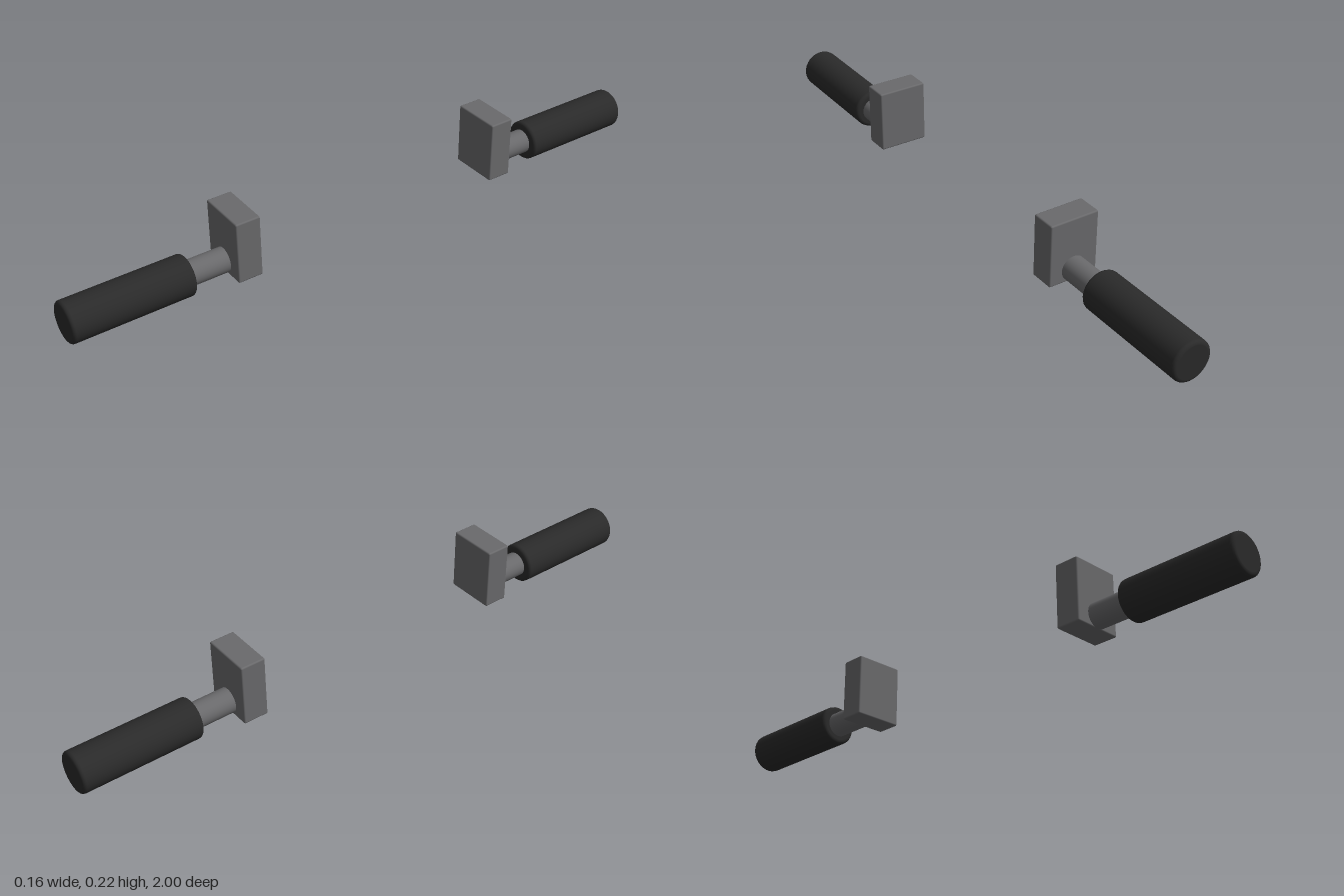
import * as THREE from 'three';
import { RoundedBoxGeometry } from 'three/addons/geometries/RoundedBoxGeometry.js';

const AXIS_Y = 0.065; // height of the handle axis

// Grip profile along its axis, with rounded rims at both ends
function gripGeometry(radius, length, rim) {
  const half = length / 2;
  const points = [new THREE.Vector2(0, -half), new THREE.Vector2(radius - rim - 0.001, -half)];
  for (const end of [-1, 1]) {
    for (let i = 0; i <= 4; i++) {
      const a = (end < 0 ? i - 4 : i) * Math.PI / 8;
      points.push(new THREE.Vector2(
        radius - rim + rim * Math.cos(a), end * (half - rim) + rim * Math.sin(a)));
    }
  }
  points.push(new THREE.Vector2(radius - rim - 0.001, half), new THREE.Vector2(0, half));
  return new THREE.LatheGeometry(points, 32).rotateX(Math.PI / 2);
}

export function createModel() {
  const metal = new THREE.MeshStandardMaterial({ name: 'grey metal', color: 0x6a6a6c });
  const rubber = new THREE.MeshStandardMaterial({ name: 'black rubber', color: 0x2a2a2a });

  const blockGeo = new RoundedBoxGeometry(0.16, 0.2, 0.08, 2, 0.005);
  const rodGeo = new THREE.CylinderGeometry(0.039, 0.039, 0.16, 32).rotateX(Math.PI / 2);
  const gripGeo = gripGeometry(0.0635, 0.38, 0.011);

  const model = new THREE.Group();
  model.name = 'handlePair';

  // Two identical handles facing away from each other
  for (const [name, turn] of [['frontHandle', 0], ['backHandle', Math.PI]]) {
    const handle = new THREE.Group();
    handle.name = name;
    handle.rotation.y = turn;
    const add = (part, geometry, material, y, z) => {
      const mesh = new THREE.Mesh(geometry, material);
      mesh.name = part;
      mesh.position.set(0, y, z);
      handle.add(mesh);
    };
    add('mountingBlock', blockGeo, metal, 0.126, 0.46);
    add('rod', rodGeo, metal, AXIS_Y, 0.56);
    add('grip', gripGeo, rubber, AXIS_Y, 0.81);
    model.add(handle);
  }
  model.position.y = 0.0635 - AXIS_Y; // rest the grips on the ground
  return model;
}
